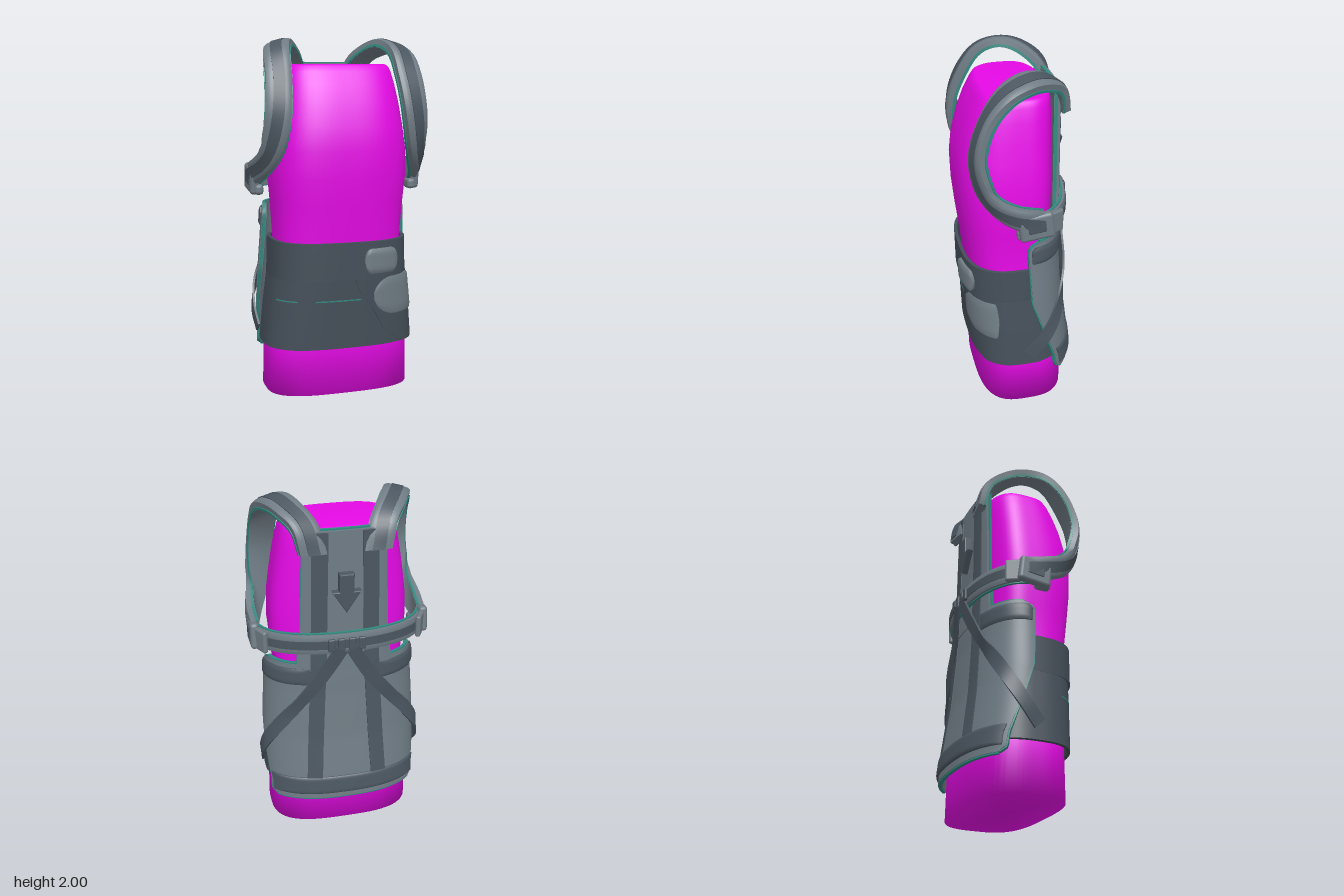
import * as THREE from 'three';
import { RoundedBoxGeometry } from 'three/addons/geometries/RoundedBoxGeometry.js';

const mat = (name, color) => {
  const m = new THREE.MeshStandardMaterial({ color });
  m.name = name;
  return m;
};
const V = (x, y, z) => new THREE.Vector3(x, y, z);
const clamp01 = (t) => Math.min(1, Math.max(0, t));

// Linear lookup in rows of [y, ...values]
function at(rows, y) {
  let i = 0;
  while (i < rows.length - 2 && y > rows[i + 1][0]) i++;
  const a = rows[i], b = rows[i + 1], t = clamp01((y - a[0]) / (b[0] - a[0]));
  return a.slice(1).map((v, k) => v + (b[k + 1] - v) * t);
}

// Body-like cross-section: rows are [y, half width, front depth, back depth]; angle 0 is the front
function ring(rows, a, y, n = 3) {
  const [w, f, b] = at(rows, y), s = Math.sin(a), c = Math.cos(a);
  const r = 1 / (Math.abs(s) ** n + Math.abs(c) ** n) ** (1 / n);
  return V(w * r * s, y, (c > 0 ? f : b) * r * c);
}
// Angle on such a section for a given x, or for a given distance behind the middle
const angleAtX = (rows, x, y, n = 3) => {
  const k = Math.max(-1, Math.min(1, x / at(rows, y)[0]));
  return Math.atan2(k, (1 - Math.abs(k) ** n) ** (1 / n));
};
const angleAtZ = (rows, z, y, n) => {
  const k = Math.min(1, z / at(rows, y)[2]);
  return Math.atan2((1 - k ** n) ** (1 / n), k);
};

// Thick sheet over fn(u, v), lifted along its normal; s = -1 mirrors it in x
function slab(fn, nu, nv, lift, t, { s = 1, edge = 1 } = {}) {
  const pos = [], idx = [], E = 1e-3;
  const P = (u, v, top) => {
    const p = fn(u, v);
    const du = fn(clamp01(u + E), v).sub(fn(clamp01(u - E), v));
    const dv = fn(u, clamp01(v + E)).sub(fn(u, clamp01(v - E)));
    const m = Math.max(Math.abs(2 * u - 1), Math.abs(2 * v - 1)) ** 6;
    const h = lift + (top ? t * (1 - (1 - edge) * m) : 0);
    return p.addScaledVector(du.cross(dv).normalize(), h);
  };
  const sheet = (f, a, b) => {
    const o = pos.length / 3;
    for (let j = 0; j <= b; j++) for (let i = 0; i <= a; i++) {
      const p = f(i / a, j / b);
      pos.push(p.x * s, p.y, p.z);
    }
    for (let j = 0; j < b; j++) for (let i = 0; i < a; i++) {
      const q = o + j * (a + 1) + i, r = q + 1, c = q + a + 1, d = c + 1;
      if (s > 0) idx.push(q, r, d, q, d, c);
      else idx.push(q, d, r, q, c, d);
    }
  };
  sheet((u, v) => P(u, v, true), nu, nv);
  sheet((u, v) => P(1 - u, v, false), nu, nv);
  sheet((u, v) => P(u, 0, v > 0.5), nu, 1);
  sheet((u, v) => P(1 - u, 1, v > 0.5), nu, 1);
  sheet((u, v) => P(0, 1 - u, v > 0.5), nv, 1);
  sheet((u, v) => P(1, u, v > 0.5), nv, 1);
  const g = new THREE.BufferGeometry();
  g.setAttribute('position', new THREE.Float32BufferAttribute(pos, 3));
  g.setIndex(idx);
  g.computeVertexNormals();
  return g;
}

// Patch of a ring surface between two angle functions and two heights
const patch = (rows, a0, a1, y0, y1, lift, t, nu = 40, nv = 16, opt = {}) => slab((u, v) => {
  const y = y0 + (y1 - y0) * v, a = a0(y);
  return ring(rows, a + (a1(y) - a) * u, y, opt.n);
}, nu, nv, lift, t, opt);

// Tab on a ring surface with its ends rounded over the fractions r0 and r1
const tab = (rows, x0, x1, yc, half, r0, r1, lift, t) => slab((u, v) => {
  const k = Math.max(0, 1 - u / r0, 1 - (1 - u) / r1);
  const h = half * Math.sqrt(Math.max(.02, 1 - k * k));
  const a = angleAtX(rows, x0, yc), b = angleAtX(rows, x1, yc);
  return ring(rows, a + (b - a) * u, yc + h * (2 * v - 1));
}, 32, 10, lift, t, { edge: .6 });

// Ribbon along points, with a width direction at each one
function ribbon(pts, dirs, from, to, lift, t, opt, nu = 56, nv = 4) {
  const c = new THREE.CatmullRomCurve3(pts.map((p) => V(...p)));
  const w = new THREE.CatmullRomCurve3(dirs.map((p) => V(...p)));
  return slab((u, v) => c.getPoint(u).addScaledVector(w.getPoint(u).normalize(), from + (to - from) * v), nu, nv, lift, t, opt);
}

const BODY = [[0, .42, .235, .27], [.28, .415, .237, .265], [.6, .38, .25, .22], [.9, .362, .28, .19], [1.1, .375, .305, .185],
  [1.25, .388, .32, .19], [1.4, .383, .325, .19], [1.52, .367, .312, .19], [1.65, .347, .28, .19], [1.75, .328, .243, .19],
  [1.82, .311, .208, .188], [1.85, .297, .188, .18], [1.86, .28, .17, .165]];
const LOWER = [[.28, .42, .255, .255], [.5, .4, .265, .23], [.7, .375, .275, .21]];
const UPPER = [[.68, .378, .288, .21], [.89, .372, .292, .2]];
const PANEL = [[.2, .462, .3, .298], [.35, .45, .3, .28], [.6, .432, .3, .245], [.9, .408, .3, .222], [1.08, .396, .3, .218],
  [1.2, .4, .3, .212], [1.87, .39, .3, .207]];
const CHEST = [[1.1, .455, .3, .25], [1.35, .455, .3, .25]];
const PANEL_EDGE = [[.2, .2], [.225, .17], [.3, .16], [.45, .11], [.7, .03], [1.03, .01], [1.06, .03], [1.08, .07]];
const PN = 2.5; // roundness of the panel section
const backAngle = (x, y) => Math.PI - angleAtX(PANEL, x, y, PN);

export function createModel() {
  const skin = mat('magenta body', 0xe80ae8), light = mat('light grey fabric', 0x707c85);
  const dark = mat('dark grey webbing', 0x4c5761), beltGrey = mat('charcoal belt', 0x454f59);
  const teal = mat('teal piping', 0x318a80), pale = mat('pale grey plastic', 0x717d85);
  const root = new THREE.Group();
  const add = (name, geo, m) => {
    const mesh = new THREE.Mesh(geo, m);
    mesh.name = name;
    root.add(mesh);
    return mesh;
  };
  const box = (name, m, w, h, d, x, y, z, ry = 0, rx = 0) => {
    const b = add(name, new RoundedBoxGeometry(w, h, d, 3, Math.min(w, h, d) * .4), m);
    b.position.set(x, y, z);
    b.rotation.set(rx, ry, 0);
  };

  // Torso: lofted rings with capped ends
  const pos = [], idx = [], N = 72, rows = BODY.length;
  BODY.forEach(([y]) => {
    for (let i = 0; i < N; i++) pos.push(...ring(BODY, (i / N) * Math.PI * 2, y, 3.1).toArray());
  });
  pos.push(0, 0, 0, 0, 1.86, 0);
  for (let i = 0; i < N; i++) {
    const k = (i + 1) % N, top = (rows - 1) * N;
    for (let j = 0; j < rows - 1; j++) {
      const a = j * N + i, b = j * N + k;
      idx.push(a, b, b + N, a, b + N, a + N);
    }
    idx.push(rows * N, k, i, rows * N + 1, top + i, top + k);
  }
  const torso = new THREE.BufferGeometry();
  torso.setAttribute('position', new THREE.Float32BufferAttribute(pos, 3));
  torso.setIndex(idx);
  torso.computeVertexNormals();
  add('torso', torso, skin);

  // Belts around the waist, with the overlapping end, seam, closing tab and buckle
  const wrap = Math.PI * .85;
  add('lowerBelt', patch(LOWER, () => -wrap, () => wrap, .28, .69, 0, .02, 96, 10), beltGrey);
  add('upperBelt', patch(UPPER, () => -wrap, () => wrap, .68, .89, 0, .02, 96, 4), beltGrey);
  const lap = [[.28, .32], [.38, .2], [.5, .14], [.6, .06], [.69, .03]];
  add('beltOverlap', patch(LOWER, (y) => angleAtX(LOWER, at(lap, y)[0], y), () => 1.9, .28, .69, .02, .006, 30, 12), beltGrey);
  for (const [x0, x1] of [[-.37, -.28], [-.19, .07]]) {
    add('beltSeam', patch(LOWER, (y) => angleAtX(LOWER, x0, y), (y) => angleAtX(LOWER, x1, y), .556, .563, .018, .004, 16, 1), teal);
  }
  add('closingTab', tab(LOWER, .14, .372, .57, .11, .42, .08, .024, .016), pale);
  add('beltBuckle', tab(UPPER, .08, .27, .78, .07, .2, .2, .02, .024), pale);

  // Back panel: wide lower part and narrow upper part, both edged with teal piping
  const side = (y) => angleAtZ(PANEL, at(PANEL_EDGE, y)[0], y, PN);
  const span = (name, m, y0, y1, grow, lift, t, edge = 1) => add(name, patch(PANEL, (y) => Math.PI - side(y) - grow,
    (y) => Math.PI + side(y) + grow, y0, y1, lift, t, 56, 30, { edge, n: PN }), m);
  span('lowerPanel', light, .2, 1.08, 0, 0, .032, .8);
  span('bottomPad', dark, .235, .345, -.05, .03, .014, .5);
  span('bottomPiping', teal, .194, .206, .01, .004, .018);
  span('topPiping', teal, 1.076, 1.088, .01, .004, .018);
  const half = [[1.05, .26], [1.3, .235], [1.87, .215]];
  const edgeAt = (y) => at(half, y)[0];
  const across = [(y) => backAngle(edgeAt(y), y), (y) => backAngle(-edgeAt(y), y)];
  add('upperPanel', patch(PANEL, ...across, 1.04, 1.866, 0, .034, 40, 16, { n: PN }), light);
  add('neckPiping', patch(PANEL, ...across, 1.862, 1.874, .002, .018, 40, 1, { n: PN }), teal);

  // Arrow on the upper panel
  const arrow = new THREE.Shape([[-.034, 1.63], [-.034, 1.53], [-.07, 1.53], [0, 1.42], [.07, 1.53], [.034, 1.53], [.034, 1.63]]
    .map((p) => new THREE.Vector2(...p)));
  add('backArrow', new THREE.ExtrudeGeometry(arrow, { depth: .035, bevelEnabled: true, bevelSize: .007, bevelThickness: .007, bevelSegments: 2 }), dark)
    .position.z = -.274;

  // Chest strap round the back, with a darker centre line
  const chest = (name, m, y0, y1, lift, t, edge = 1) => add(name, patch(CHEST, () => Math.PI * .53, () => Math.PI * 1.47,
    y0, y1, lift, t, 64, 8, { n: 2.3, edge }), m);
  chest('chestStrap', light, 1.168, 1.282, 0, .034, .85);
  chest('chestStrapBand', dark, 1.2, 1.25, .033, .005);
  chest('chestLowerPiping', teal, 1.162, 1.17, .002, .014);
  chest('chestUpperPiping', teal, 1.28, 1.288, .002, .014);

  // Shoulder strap: centre points and width directions from the back over to the underarm
  const sp = [[.175, 1.74, -.222], [.21, 1.86, -.188], [.265, 1.92, -.11], [.31, 1.938, -.02], [.352, 1.9, .085], [.37, 1.79, .172],
    [.382, 1.62, .23], [.398, 1.46, .212], [.422, 1.345, .145], [.446, 1.275, .04], [.448, 1.235, -.08]];
  const sd = [[1, .1, -.1], [.95, 0, -.25], [.88, -.2, -.38], [.9, -.25, -.33], [.95, -.15, -.22], [1, 0, -.12],
    [.95, .15, -.22], [.75, .55, -.25], [.3, .92, .15], [.1, .98, .18], [0, 1, .05]];
  // Diagonal webbing from the centre clip down to the hips
  const dp = [[.03, 1.2, -.288], [.13, 1.02, -.256], [.25, .86, -.238], [.36, .72, -.212], [.437, .58, -.16], [.462, .46, -.09], [.453, .36, -.01]];
  const dd = [[-.85, -.53, 0], [-.82, -.57, 0], [-.75, -.6, .15], [-.55, -.65, -.3], [-.25, -.6, -.65], [0, -.6, -.75], [0, -.65, -.75]];

  for (const s of [1, -1]) {
    const n = (part) => (s > 0 ? 'left' : 'right') + part;
    add(n('ShoulderStrap'), ribbon(sp, sd, -.071, .071, 0, .056, { s, edge: .8 }, 60, 10), light);
    add(n('ShoulderBand'), ribbon(sp, sd, -.032, .032, .054, .006, { s }), dark);
    add(n('ShoulderInnerPiping'), ribbon(sp, sd, -.076, -.068, .002, .014, { s }, 56, 1), teal);
    add(n('ShoulderOuterPiping'), ribbon(sp, sd, .068, .076, .002, .014, { s }, 56, 1), teal);
    add(n('DiagonalStrap'), ribbon(dp, dd, -.038, .038, 0, .012, { s }, 40, 2), dark);

    // Panel edge piping, stitched bands running down the panel, and the upper side pad
    const opt = { s, n: PN };
    add(n('LowerPiping'), patch(PANEL, (y) => Math.PI - side(y) - .025, (y) => Math.PI - side(y) + .01, .2, 1.08, .004, .018, 1, 40, opt), teal);
    add(n('UpperPiping'), patch(PANEL, (y) => backAngle(edgeAt(y) + .006, y), (y) => backAngle(edgeAt(y) - .006, y), 1.08, 1.87, .002, .018, 1, 20, opt), teal);
    const mid = [[.2, .19], [1.08, .145], [1.87, .13]];
    const edges = [.042, -.042].map((d) => (y) => backAngle(at(mid, y)[0] + d, y));
    add(n('PanelBand'), patch(PANEL, ...edges, .34, 1.86, .033, .006, 6, 40, opt), dark);
    add(n('TopPad'), patch(PANEL, (y) => Math.PI - side(y) + .06, (y) => backAngle(.19, y), .955, 1.055, .028, .014, 24, 8, { ...opt, edge: .5 }), dark);

    // Underarm buckle and strap adjusters
    box(n('Buckle'), light, .05, .15, .19, s * .479, 1.225, -.035, 0, .12);
    box(n('BuckleClip'), dark, .02, .06, .1, s * .497, 1.225, -.035, 0, .12);
    box(n('BuckleTab'), light, .05, .06, .09, s * .455, 1.17, .02);
    box(n('Adjuster'), pale, .03, .13, .09, s * .448, 1.225, -.15, s * .5);
    for (const x of [.03, .085]) box(n('ClipLoop'), dark, .04, .075, .02, s * x, 1.225, -.288);
  }
  return root;
}
